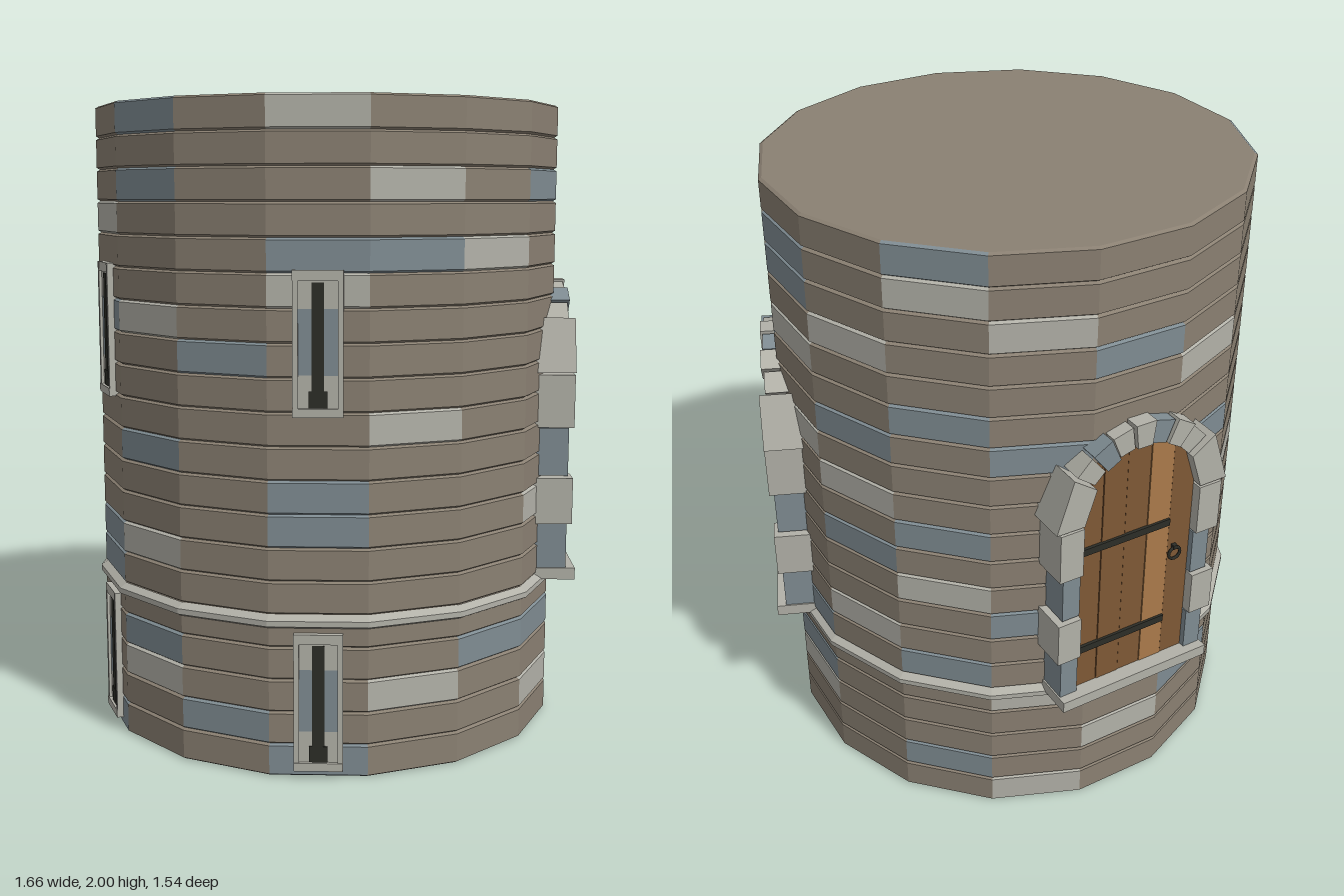
import * as THREE from 'three';
import { mergeGeometries } from 'three/addons/utils/BufferGeometryUtils.js';

const mat = (name, color) => {
  const m = new THREE.MeshStandardMaterial({ color });
  m.name = name;
  return m;
};

const SIDES = 16, STEP = (Math.PI * 2) / SIDES, R = 0.755, APOTHEM = 0.74;

// Stone colours per course (top to bottom) and per wall facet: . brown, b blue-grey, l light
const COURSES = [
  '.l......b....b.b', '......b.l.......', '..l.b.b..l...b.b', '.......l..b...l.',
  '.bbl..l....l.b..', '.l...b..b.......', '.......b.b....bl', 'b.....l....b....',
  '.......l.....b..', '..l.....b...l...', '.......b.....l.b', '.b......l.......',
  '.b..l....b......', '.......l......bl', '......b.b....lb.', '.........l......',
  '...bbbb....b.l.b', '..l...l...l....l', 'b...ll..b....b..', '.b.......l....b.',
];

// Faceted strip turned around the y axis, with hard edges
function turned(profile, segments, start, length) {
  const pts = profile.map(([r, y]) => new THREE.Vector2(r, y));
  const g = new THREE.LatheGeometry(pts, segments, start, length).toNonIndexed();
  g.computeVertexNormals();
  return g;
}

function mesh(name, geometry, material, parent) {
  const m = new THREE.Mesh(geometry, material);
  m.name = name;
  parent.add(m);
  return m;
}

// Box given by its limits in x, y and z
function block(name, x0, x1, y0, y1, z0, z1, material, parent) {
  const m = mesh(name, new THREE.BoxGeometry(x1 - x0, y1 - y0, z1 - z0), material, parent);
  m.position.set((x0 + x1) / 2, (y0 + y1) / 2, (z0 + z1) / 2);
  return m;
}

// Flat outline pushed out from z0 to z1
function slab(name, points, z0, z1, material, parent) {
  const shape = new THREE.Shape(points.map(([x, y]) => new THREE.Vector2(x, y)));
  const g = new THREE.ExtrudeGeometry(shape, { depth: z1 - z0, bevelEnabled: false });
  const m = mesh(name, g, material, parent);
  m.position.z = z0;
  return m;
}

// Group whose local z = 0 lies on the middle of a wall facet
function onFacet(name, facet, parent) {
  const pivot = new THREE.Group(), g = new THREE.Group();
  pivot.name = name;
  pivot.rotation.y = (facet + 0.5) * STEP;
  g.name = name + 'Parts';
  g.position.z = APOTHEM;
  pivot.add(g);
  parent.add(pivot);
  return g;
}

export function createModel() {
  const model = new THREE.Group();
  model.name = 'tower';
  const brown = mat('brownStone', 0x8a8072);
  const blue = mat('blueGreyStone', 0x7f8c92);
  const light = mat('lightStone', 0xb2b1a8);
  const wood = mat('wood', 0x7f5935);
  const paleWood = mat('paleWood', 0xaa7a4a);
  const iron = mat('iron', 0x2c2d27);

  // Wall of 20 courses with chamfered joints, gathered by stone colour
  const stones = { '.': [], b: [], l: [] };
  COURSES.forEach((row, i) => {
    const y1 = 2 - i * 0.1, y0 = y1 - 0.1;
    const profile = [[R - 0.01, y0], [R, y0 + 0.006], [R, y1 - 0.006], [R - 0.01, y1]];
    for (let k = 0; k < SIDES; k++) stones[row[k]].push(turned(profile, 1, k * STEP, STEP));
  });
  mesh('brownWallStones', mergeGeometries(stones['.']), brown, model);
  mesh('blueWallStones', mergeGeometries(stones.b), blue, model);
  mesh('lightWallStones', mergeGeometries(stones.l), light, model);

  // Flat top and underside
  const top = mesh('topFloor', new THREE.CircleGeometry(R - 0.01, SIDES), brown, model);
  top.rotation.x = -Math.PI / 2;
  top.position.y = 2;
  const base = mesh('underside', new THREE.CircleGeometry(R - 0.01, SIDES), blue, model);
  base.rotation.x = Math.PI / 2;

  // Stone string course around the wall
  mesh('ledge', turned([[0.75, 0.457], [0.772, 0.468], [0.772, 0.485], [0.75, 0.5]],
    SIDES, 0, Math.PI * 2), light, model);

  // Arrow slits: two on each front facet
  for (const facet of [1, 14]) {
    for (const y of [0.025, 1.09]) {
      const s = onFacet('arrowSlit', facet, model), h = 0.42;
      for (const side of [-1, 1]) {
        const x = side * 0.065;
        block('slitRim', x - 0.008, x + 0.008, y, y + h, -0.02, 0.02, light, s);
      }
      block('slitLintel', -0.073, 0.073, y + h - 0.03, y + h, -0.02, 0.019, light, s);
      block('slitSill', -0.073, 0.073, y, y + 0.025, -0.02, 0.022, light, s);
      [[0.025, 0.12, light], [0.12, 0.2, blue], [0.2, 0.31, blue], [0.31, 0.39, light]]
        .forEach(([a, b, m]) => block('slitJamb', -0.057, 0.057, y + a, y + b, -0.02, 0.011, m, s));
      block('slitOpening', -0.018, 0.018, y + 0.03, y + 0.385, 0.008, 0.014, iron, s);
      block('slitFoot', -0.027, 0.027, y + 0.026, y + 0.075, 0.008, 0.015, iron, s);
    }
  }

  // Arched doors on the two rear quarters
  const SPRING = 1.16, IN = 0.205, OUT = 0.285, BACK = -0.08;
  for (const facet of [5, 10]) {
    const d = onFacet('door', facet, model);

    // Planks cut to the arch
    const archY = (x) => SPRING + Math.sqrt(Math.max(0, 0.21 ** 2 - x * x));
    const w = 0.082;
    for (let i = 0; i < 5; i++) {
      const x0 = -IN + i * w + 0.001, x1 = x0 + w - 0.002;
      const pts = [[x0, 0.51], [x1, 0.51]];
      for (let j = 0; j <= 6; j++) {
        const x = x1 + ((x0 - x1) * j) / 6;
        pts.push([x, archY(x)]);
      }
      slab('plank', pts, BACK, i % 2 ? 0.029 : 0.027, i === 3 ? paleWood : wood, d);
    }

    // Iron straps and ring handle
    for (const y of [0.67, 1.045]) block('strap', -IN, 0.12, y - 0.012, y + 0.012, 0.025, 0.037, iron, d);
    const ring = mesh('ringHandle', new THREE.TorusGeometry(0.021, 0.005, 6, 16), iron, d);
    ring.position.set(0.145, 0.92, 0.037);
    block('ringPlate', 0.138, 0.152, 0.936, 0.95, 0.025, 0.042, iron, d);

    // Sill and alternating jamb blocks
    block('doorSill', -0.27, 0.27, 0.482, 0.52, BACK, 0.076, light, d);
    [[0.52, 0.665], [0.67, 0.82], [0.825, 0.98], [0.985, 1.155]].forEach(([y0, y1], i) => {
      const wide = i % 2, o = wide ? 0.285 : 0.265, z = wide ? 0.06 : 0.046;
      for (const side of [-1, 1]) {
        block('jambBlock', Math.min(side * IN, side * o), Math.max(side * IN, side * o),
          y0, y1, BACK, z, wide ? light : blue, d);
      }
    });

    // Arch stones: long springers, small wedges over the crown
    const cuts = [0, 36];
    for (let i = 1; i <= 7; i++) cuts.push(36 + (i * 108) / 7);
    cuts.push(180);
    for (let i = 0; i < cuts.length - 1; i++) {
      const a = THREE.MathUtils.degToRad(cuts[i] + 0.7), b = THREE.MathUtils.degToRad(cuts[i + 1] - 0.7);
      const springer = i === 0 || i === cuts.length - 2;
      const o = springer ? 0.3 : OUT - (i % 2) * 0.006;
      const at = (r, t) => [r * Math.cos(t), SPRING + r * Math.sin(t)];
      slab('archStone', [at(IN, a), at(o, a), at(o, b), at(IN, b)],
        BACK, springer ? 0.06 : 0.05 - (i % 2) * 0.008, i === 3 || i === 6 ? blue : light, d);
    }
  }
  return model;
}
